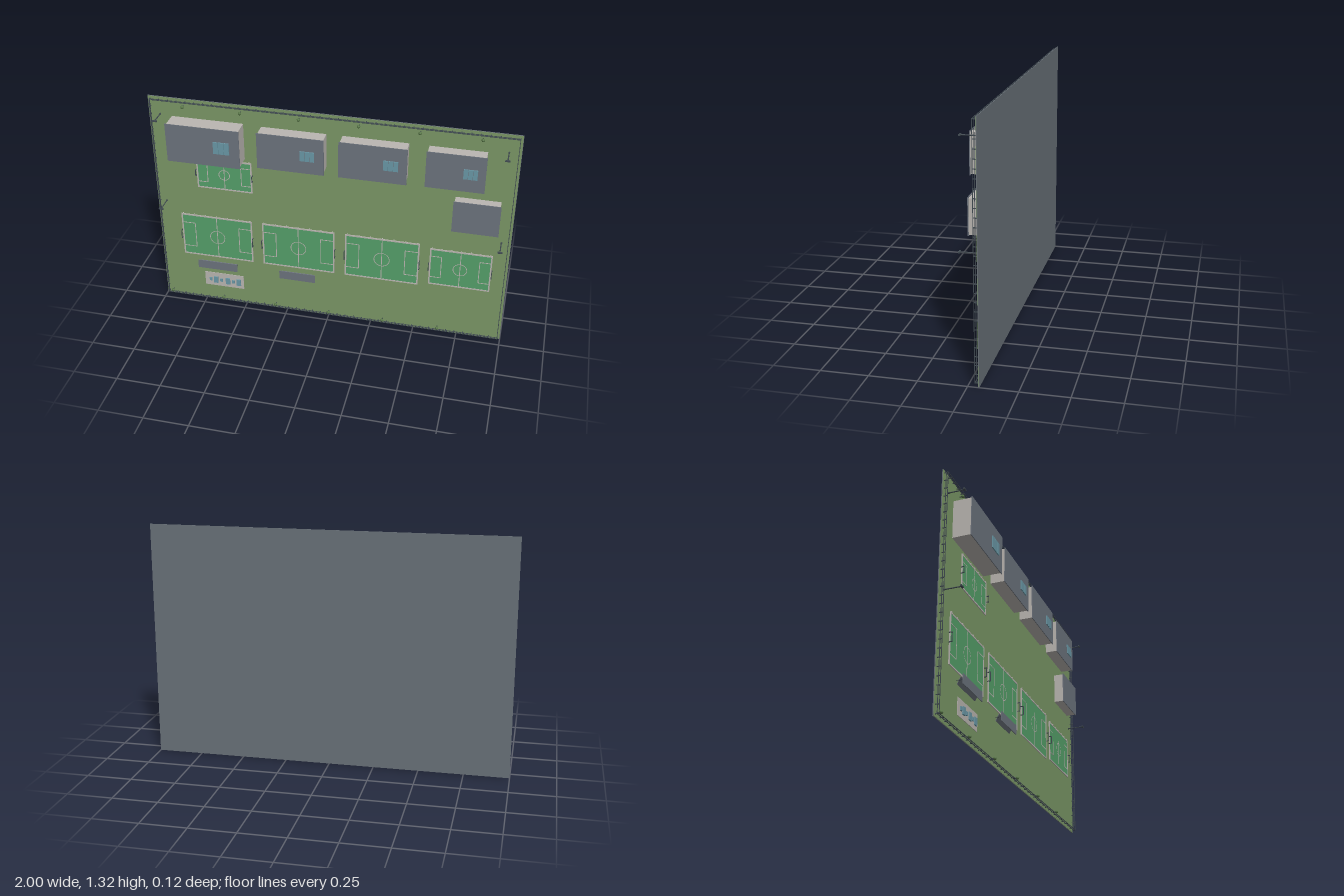
import * as THREE from 'three';

const mat = (name, color) => {
  const m = new THREE.MeshStandardMaterial({ color });
  m.name = name;
  return m;
};

export function createModel() {
  const M = {
    grass: mat('grass', 0x7a9766),
    pitch: mat('pitch green', 0x559f69),
    wall: mat('pale concrete', 0xbab6b1),
    roof: mat('roof grey', 0x6c737d),
    slab: mat('slab grey', 0x687077),
    dark: mat('dark metal', 0x414b52),
    glass: mat('glass', 0x6a98a6),
    bush: mat('bush green', 0x587747),
  };
  const root = new THREE.Group();
  root.name = 'sportsGround';
  const G = -0.052; // ground surface, everything rises towards +z

  const group = (name) => {
    const g = new THREE.Group();
    g.name = name;
    root.add(g);
    return g;
  };
  // box from its minimum and maximum corners
  const box = (parent, name, m, x0, x1, y0, y1, z0, z1) => {
    const mesh = new THREE.Mesh(new THREE.BoxGeometry(x1 - x0, y1 - y0, z1 - z0), m);
    mesh.position.set((x0 + x1) / 2, (y0 + y1) / 2, (z0 + z1) / 2);
    mesh.name = name;
    parent.add(mesh);
    return mesh;
  };
  // rod that rises along z
  const rod = (parent, name, m, x, y, r, z0, z1) => {
    const mesh = new THREE.Mesh(new THREE.CylinderGeometry(r, r, z1 - z0, 8), m);
    mesh.rotation.x = Math.PI / 2;
    mesh.position.set(x, y, (z0 + z1) / 2);
    mesh.name = name;
    parent.add(mesh);
  };

  // base slab and lawn
  box(root, 'baseSlab', M.slab, -1, 1, 0, 1.32, -0.058, -0.054);
  box(root, 'lawn', M.grass, -0.998, 0.998, 0.002, 1.318, -0.054, G);

  // perimeter fence
  const fence = group('fence');
  const FX = 0.985, F0 = 0.015, F1 = 1.305, t = 0.0015;
  for (const z of [-0.042, -0.032]) {
    for (const y of [F0, F1]) box(fence, 'fenceRail', M.dark, -FX, FX, y - t, y + t, z - t, z + t);
    for (const x of [-FX, FX]) box(fence, 'fenceRail', M.dark, x - t, x + t, F0, F1, z - t, z + t);
  }
  for (let i = 0; i <= 40; i++) {
    const x = -FX + (2 * FX * i) / 40;
    for (const y of [F0, F1]) box(fence, 'fencePost', M.dark, x - 0.002, x + 0.002, y - 0.002, y + 0.002, G, -0.031);
  }
  for (let i = 1; i < 28; i++) {
    const y = F0 + ((F1 - F0) * i) / 28;
    for (const x of [-FX, FX]) box(fence, 'fencePost', M.dark, x - 0.002, x + 0.002, y - 0.002, y + 0.002, G, -0.031);
  }

  // halls: walls, overhanging roof, roof windows [x0, x1, y0, y1, roof z, window x]
  const halls = [
    [-0.875, -0.465, 0.99, 1.215, 0.052, -0.565, 0.09, 0.07],
    [-0.375, -0.01, 1.0, 1.21, 0.033, -0.1, 0.08, 0.057],
    [0.067, 0.43, 1.0, 1.21, 0.029, 0.345, 0.08, 0.057],
    [0.525, 0.835, 1.0, 1.21, 0.022, 0.757, 0.075, 0.057],
    [0.68, 0.93, 0.735, 0.922, 0.008, null],
  ];
  for (const [x0, x1, y0, y1, top, wx, ww, wh] of halls) {
    const hall = group('hall');
    const o = 0.005;
    box(hall, 'hallWalls', M.wall, x0 + o, x1 - o, y0 + o, y1 - o, G, top - 0.004);
    box(hall, 'hallRoof', M.roof, x0, x1, y0, y1, top - 0.004, top);
    if (wx === null) continue;
    for (let i = -1; i <= 1; i++) {
      const cx = wx + (i * ww) / 3, h = ww / 6 - 0.001;
      box(hall, 'roofWindow', M.glass, cx - h, cx + h, 1.105 - wh / 2, 1.105 + wh / 2, top, top + 0.006);
    }
  }

  // playing fields with kerb, markings, kerb posts and goals
  const fields = [
    [-0.867, -0.448, 0.31, 0.587],
    [-0.387, 0.032, 0.31, 0.587],
    [0.093, 0.512, 0.31, 0.587],
    [0.57, 0.912, 0.328, 0.568],
    [-0.752, -0.434, 0.78, 0.972],
  ];
  for (const [x0, x1, y0, y1] of fields) {
    const f = group('field');
    const cx = (x0 + x1) / 2, cy = (y0 + y1) / 2, w = x1 - x0, h = y1 - y0;
    const k = 0.008, L = 0.0022, z = -0.0488;
    box(f, 'turf', M.pitch, x0 + k, x1 - k, y0 + k, y1 - k, G, z);
    const line = (a, b, c, d) => box(f, 'marking', M.wall, a, b, c, d, z, z + 0.0008);
    for (const [a, b, c, d] of [[x0, x1, y0, y0 + k], [x0, x1, y1 - k, y1], [x0, x0 + k, y0 + k, y1 - k], [x1 - k, x1, y0 + k, y1 - k]])
      box(f, 'kerb', M.wall, a, b, c, d, G, -0.047);
    line(cx - L, cx + L, y0 + k, y1 - k);
    const ring = new THREE.Mesh(new THREE.RingGeometry(h * 0.15, h * 0.15 + 0.004, 32), M.wall);
    ring.position.set(cx, cy, z + 0.001);
    ring.name = 'centreCircle';
    f.add(ring);
    for (const s of [-1, 1]) {
      const xe = cx + s * (w / 2 - k), xi = cx + s * (w / 2 - k - w * 0.17), p = h * 0.29;
      line(xi - L, xi + L, cy - p, cy + p);
      for (const q of [-p, p]) line(Math.min(xe, xi), Math.max(xe, xi), cy + q - L, cy + q + L);
      // goal frame just beyond the end line
      const gx = cx + s * (w / 2 + 0.003), g = h * 0.09, r = 0.002;
      for (const q of [-g, g]) box(f, 'goalPost', M.dark, gx - r, gx + r, cy + q - r, cy + q + r, G, -0.034);
      box(f, 'goalBar', M.dark, gx - r, gx + r, cy - g, cy + g, -0.036, -0.033);
    }
    for (let i = 0; i < 7; i++) {
      const x = x0 + 0.012 + ((w - 0.024) * i) / 6;
      box(f, 'kerbPost', M.wall, x - 0.003, x + 0.003, y1, y1 + 0.005, G, -0.046);
    }
  }

  // covered stands: canopy, posts, sloped seating
  for (const [x0, x1] of [[-0.775, -0.538], [-0.285, -0.073]]) {
    const s = group('stand');
    box(s, 'standCanopy', M.roof, x0, x1, 0.245, 0.297, -0.018, -0.014);
    for (let i = 0; i < 4; i++) {
      const x = x0 + 0.01 + ((x1 - x0 - 0.02) * i) / 3;
      rod(s, 'standPost', M.dark, x, 0.27, 0.002, G, -0.018);
    }
    const seat = box(s, 'standSeating', M.roof, x0 + 0.01, x1 - 0.01, 0.248, 0.288, -0.043, -0.04);
    seat.rotation.x = 0.45;
  }

  // car park with vehicles
  const park = group('carPark');
  box(park, 'paving', M.wall, -0.752, -0.515, 0.1, 0.192, G, -0.049);
  [-0.717, -0.685, -0.652, -0.612, -0.578, -0.545].forEach((x, i) => {
    const big = i % 2, a = big ? 0.013 : 0.008, b = big ? 0.021 : 0.01;
    box(park, 'vehicle', M.glass, x - a, x + a, 0.144 - b, 0.144 + b, -0.049, big ? -0.042 : -0.044);
  });

  // floodlights
  for (const [x, y] of [[-0.935, 1.217], [0.935, 1.217], [-0.948, 0.662], [0.948, 0.662]]) {
    const p = group('floodlight');
    const tip = y > 1 ? 0.044 : 0.05;
    rod(p, 'floodlightFoot', M.dark, x, y, 0.005, G, -0.046);
    rod(p, 'floodlightMast', M.dark, x, y, 0.003, G, tip);
    box(p, 'floodlightHead', M.dark, x - 0.013, x + 0.013, y - 0.004, y + 0.004, tip - 0.011, tip - 0.003);
  }

  // bushes along the two long edges
  for (const [start, y] of [[-0.8, 1.28], [-0.96, 0.03]]) {
    for (let i = 0; i < 6; i++) {
      const b = group('bush'), x = start + i * 0.32;
      rod(b, 'bushTrunk', M.dark, x, y, 0.003, G, -0.035);
      const crown = new THREE.Mesh(new THREE.SphereGeometry(0.009, 8, 6), M.bush);
      crown.position.set(x, y, -0.033);
      crown.name = 'bushCrown';
      b.add(crown);
    }
  }
  return root;
}
